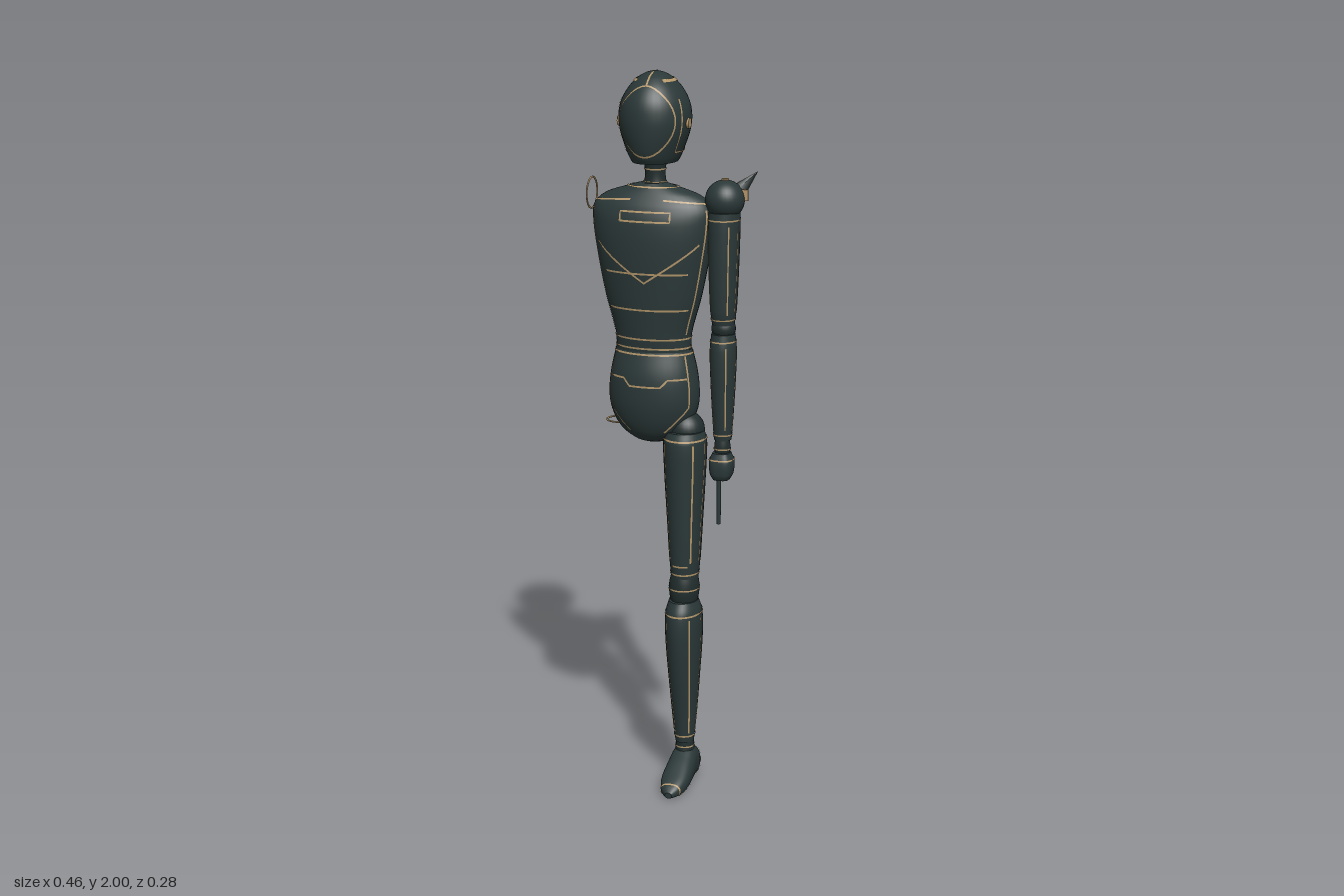
import * as THREE from 'three';
import { mergeGeometries } from 'three/addons/utils/BufferGeometryUtils.js';

const shell = new THREE.MeshStandardMaterial({ color: 0x2b3838 });
shell.name = 'dark shell';
const joint = new THREE.MeshStandardMaterial({ color: 0x222d2d });
joint.name = 'joint';
const trim = new THREE.MeshStandardMaterial({ color: 0xb3966a, side: THREE.DoubleSide });
trim.name = 'tan trim';

// Body surface from sections [y, centreX, centreZ, halfWidth, halfDepth], smooth along y.
// point(angle, y): angle 0 is the front, 90 the model's left.
function makeSurface(rows, power = 1) {
  const slope = (i, k) => {
    const a = rows[Math.max(i - 1, 0)], b = rows[Math.min(i + 1, rows.length - 1)];
    return (b[k] - a[k]) / (b[0] - a[0]);
  };
  const squash = v => Math.sign(v) * Math.pow(Math.abs(v), power);
  const point = (deg, y) => {
    let i = 0;
    while (i < rows.length - 2 && y > rows[i + 1][0]) i++;
    const h = rows[i + 1][0] - rows[i][0], t = (y - rows[i][0]) / h, u = 1 - t;
    const [cx, cz, rx, rz] = [1, 2, 3, 4].map(k =>
      (1 + 2 * t) * u * u * rows[i][k] + t * u * u * h * slope(i, k) +
      t * t * (3 - 2 * t) * rows[i + 1][k] - t * t * u * h * slope(i + 1, k));
    const a = THREE.MathUtils.degToRad(deg);
    return new THREE.Vector3(cx + rx * squash(Math.sin(a)), y, cz + rz * squash(Math.cos(a)));
  };
  return { rows, point };
}

function skin({ rows, point }, sides = 40) {
  const ys = [];
  rows.slice(1).forEach((r, i) => {
    for (let s = 0; s < 5; s++) ys.push(THREE.MathUtils.lerp(rows[i][0], r[0], s / 5));
  });
  ys.push(rows.at(-1)[0]);
  const pos = [], index = [];
  const addRing = y => { for (let j = 0; j < sides; j++) pos.push(...point(j * 360 / sides, y).toArray()); };
  ys.forEach(addRing);
  for (let i = 0; i < ys.length - 1; i++) for (let j = 0; j < sides; j++) {
    const a = i * sides + j, b = i * sides + (j + 1) % sides;
    index.push(a, b, b + sides, a, b + sides, a + sides);
  }
  // End caps with their own vertices keep the rims sharp
  for (const [row, up] of [[rows[0], false], [rows.at(-1), true]]) {
    const base = pos.length / 3;
    addRing(row[0]);
    pos.push(row[1], row[0], row[2]);
    for (let j = 0; j < sides; j++) {
      const a = base + j, b = base + (j + 1) % sides;
      index.push(...(up ? [a, b, base + sides] : [b, a, base + sides]));
    }
  }
  const g = new THREE.BufferGeometry();
  g.setAttribute('position', new THREE.Float32BufferAttribute(pos, 3));
  g.setIndex(index);
  g.computeVertexNormals();
  return g;
}

// Flat ribbon lying on a surface along a path of [angle, y]
function ribbon({ point }, path, width = 0.005) {
  const pts = [], pos = [], index = [];
  path.slice(1).forEach((b, i) => {
    const n = Math.max(3, Math.ceil(Math.abs(b[0] - path[i][0]) / 8), Math.ceil(Math.abs(b[1] - path[i][1]) / 0.015));
    for (let s = i ? 1 : 0; s <= n; s++) pts.push([0, 1].map(k => THREE.MathUtils.lerp(path[i][k], b[k], s / n)));
  });
  const on = pts.map(p => point(...p));
  on.forEach((p, i) => {
    const [a, y] = pts[i];
    const n = point(a + 1, y).sub(point(a - 1, y)).cross(point(a, y - 0.001).sub(point(a, y + 0.001))).normalize().negate();
    const along = on[Math.min(i + 1, on.length - 1)].clone().sub(on[Math.max(i - 1, 0)]).normalize();
    const side = along.cross(n).normalize().multiplyScalar(width / 2);
    const c = p.clone().addScaledVector(n, 0.0018);
    pos.push(...c.clone().sub(side).toArray(), ...c.add(side).toArray());
    if (i) { const k = 2 * i; index.push(k - 2, k - 1, k + 1, k - 2, k + 1, k); }
  });
  const g = new THREE.BufferGeometry();
  g.setAttribute('position', new THREE.Float32BufferAttribute(pos, 3));
  g.setIndex(index);
  g.computeVertexNormals();
  return g;
}

const hoop = y => [[0, y], [360, y]];
const line = (a, y0, y1) => [[a, y0], [a, y1]];
const frame = (a0, a1, y0, y1) => [[a0, y0], [a1, y0], [a1, y1], [a0, y1], [a0, y0]];
const both = path => [path, path.map(([a, y]) => [-a, y])];

export function createModel() {
  const model = new THREE.Group();
  model.name = 'mannequin';
  const add = (name, geometry, material, x = 0, y = 0, z = 0) => {
    const m = new THREE.Mesh(geometry, material);
    m.name = name;
    m.position.set(x, y, z);
    model.add(m);
    return m;
  };
  const part = (name, rows, seams = [], { power = 1, material = shell, width = 0.005 } = {}) => {
    const s = makeSurface(rows, power), g = new THREE.Group();
    g.name = name;
    const body = new THREE.Mesh(skin(s), material);
    body.name = name + 'Shell';
    g.add(body);
    if (seams.length) {
      const t = new THREE.Mesh(mergeGeometries(seams.map(p => ribbon(s, p, width))), trim);
      t.name = name + 'Trim';
      g.add(t);
    }
    model.add(g);
    return { group: g, surface: s };
  };
  // Rows that share one centre
  const centred = (cx, cz, rows) => rows.map(([y, rx, rz]) => [y, cx, cz, rx, rz]);

  // Head with face outline, crown line and horseshoe band
  const faceOval = Array.from({ length: 33 }, (_, i) => {
    const t = i / 32 * Math.PI * 2;
    return [52 * Math.sin(t), 1.873 + 0.092 * Math.cos(t)];
  });
  const head = part('head', centred(-0.05, -0.031, [
    [1.76, 0.06, 0.082], [1.775, 0.068, 0.091], [1.8, 0.078, 0.099], [1.84, 0.092, 0.106], [1.88, 0.097, 0.108],
    [1.92, 0.09, 0.102], [1.955, 0.071, 0.083], [1.98, 0.048, 0.056], [1.994, 0.025, 0.029], [2, 0.003, 0.003]]),
  [faceOval, line(0, 1.965, 1.998), line(180, 1.8, 1.998), [[65, 1.79], [295, 1.79]], ...both(line(65, 1.79, 1.93))]);
  const band = new THREE.Mesh(ribbon(head.surface, [[42, 1.976], [318, 1.976]], 0.011), trim);
  band.name = 'crownBand';
  head.group.add(band);
  for (const s of [1, -1]) {
    add('earDisc', new THREE.CylinderGeometry(0.014, 0.014, 0.008, 20), trim, -0.05 + s * 0.096, 1.865, -0.02).rotation.z = Math.PI / 2;
  }

  // Neck
  part('neck', centred(-0.05, -0.03, [[1.68, 0.038, 0.034], [1.71, 0.029, 0.028], [1.74, 0.028, 0.028], [1.78, 0.036, 0.034]]),
    [hoop(1.705), hoop(1.74)], { material: joint, width: 0.004 });

  // Torso
  part('torso', centred(-0.05, -0.015, [
    [1.25, 0.104, 0.064], [1.3, 0.107, 0.07], [1.4, 0.134, 0.08], [1.52, 0.158, 0.088], [1.6, 0.169, 0.086],
    [1.645, 0.165, 0.073], [1.675, 0.13, 0.055], [1.695, 0.07, 0.04], [1.705, 0.035, 0.03]]),
  [
    frame(-24, 24, 1.61, 1.635), [[-50, 1.47], [50, 1.47]], [[-60, 1.37], [60, 1.37]], [[-60, 1.55], [0, 1.445], [60, 1.55]],
    hoop(1.288), hoop(1.262), ...both(line(68, 1.3, 1.64)), ...both(line(112, 1.3, 1.64)), ...both(line(166, 1.3, 1.67)),
    ...both([[130, 1.42], [145, 1.6], [125, 1.645]]), hoop(1.695), ...both([[18, 1.665], [75, 1.655]]),
    ...both([[172, 1.34], [172, 1.66]])]);

  // Pelvis
  part('pelvis', centred(-0.05, -0.02, [
    [0.99, 0.02, 0.018], [1.0, 0.052, 0.045], [1.03, 0.094, 0.069], [1.08, 0.12, 0.085], [1.13, 0.127, 0.09],
    [1.19, 0.121, 0.086], [1.255, 0.106, 0.068]]),
  [
    [[-60, 1.18], [-30, 1.18], [-20, 1.16], [20, 1.16], [30, 1.18], [60, 1.18]], hoop(1.245),
    ...both([[62, 1.24], [62, 1.1], [30, 1.03]]), ...both(line(115, 1.06, 1.24)), ...both(line(168, 1.06, 1.24)),
    [[115, 1.06], [245, 1.06]]]);

  // Wire loops on the empty right shoulder and hip
  add('shoulderLoop', new THREE.TorusGeometry(0.042, 0.0025, 8, 40), trim, -0.226, 1.668, -0.018).rotation.y = Math.PI / 2;
  add('hipLoop', new THREE.TorusGeometry(0.035, 0.0025, 8, 40), trim, -0.151, 1.042, -0.02).rotation.x = Math.PI / 2;

  // Left shoulder with cap and spike
  add('shoulderBall', new THREE.SphereGeometry(0.053, 32, 20), shell, 0.148, 1.667, -0.018);
  add('shoulderCap', new THREE.CylinderGeometry(0.01, 0.01, 0.006, 20), trim, 0.148, 1.72, -0.018);
  const aim = new THREE.Vector3(0.05, 0.055, -0.025).normalize();
  const spike = add('shoulderSpike', new THREE.ConeGeometry(0.022, 0.075, 4), shell, 0.202, 1.713, -0.047);
  spike.quaternion.setFromUnitVectors(new THREE.Vector3(0, 1, 0), aim);
  const spikeEdge = add('spikeEdge', new THREE.ConeGeometry(0.024, 0.078, 4), trim, 0.202, 1.713, -0.047);
  spikeEdge.quaternion.copy(spike.quaternion);
  spikeEdge.scale.z = 0.15;
  for (const [x, z, turn] of [[0.168, -0.06, 1.1], [0.2, -0.026, 0.1]]) {
    add('shoulderTab', new THREE.BoxGeometry(0.02, 0.03, 0.007), trim, x, 1.68, z).rotation.y = turn;
  }

  // Left arm
  part('upperArm', centred(0.145, -0.02, [
    [1.33, 0.03, 0.034], [1.37, 0.035, 0.041], [1.48, 0.04, 0.048], [1.58, 0.043, 0.05], [1.635, 0.044, 0.048]]),
  [hoop(1.345), hoop(1.615), ...[35, 75, 125, -125, -50].map(a => line(a, 1.36, 1.6))], { width: 0.004 });
  add('elbow', new THREE.SphereGeometry(0.033, 24, 16), joint, 0.146, 1.318, -0.02);
  part('forearm', centred(0.146, -0.018, [
    [1.01, 0.024, 0.025], [1.08, 0.029, 0.033], [1.18, 0.034, 0.041], [1.26, 0.036, 0.043], [1.305, 0.032, 0.036]]),
  [hoop(1.025), hoop(1.285), ...[30, 80, 140, -120, -45].map(a => line(a, 1.04, 1.27))], { width: 0.004 });
  part('wrist', centred(0.146, -0.015, [[0.97, 0.02, 0.02], [0.99, 0.022, 0.022], [1.015, 0.019, 0.019]]),
    [hoop(0.985)], { material: joint, width: 0.004 });
  part('hand', centred(0.146, -0.01, [[0.9, 0.022, 0.026], [0.915, 0.03, 0.033], [0.95, 0.033, 0.034], [0.975, 0.024, 0.026]]),
    [hoop(0.957)], { power: 0.7, width: 0.004 });
  add('rod', new THREE.CylinderGeometry(0.006, 0.006, 0.15, 12), shell, 0.138, 0.845, -0.01);

  // Left leg
  add('hipBall', new THREE.SphereGeometry(0.052, 28, 18), joint, 0.042, 1.03, -0.015);
  part('thigh', centred(0.042, -0.008, [
    [0.6, 0.036, 0.044], [0.66, 0.042, 0.05], [0.78, 0.049, 0.058], [0.92, 0.057, 0.066], [1.0, 0.059, 0.068], [1.03, 0.052, 0.058]]),
  [hoop(1.01), [[-30, 0.65], [30, 0.65]], hoop(0.625), ...[40, 80, 125, 170, -45, -85, -130].map(a => line(a, 0.66, 1.0))]);
  part('knee', centred(0.041, -0.005, [[0.53, 0.034, 0.04], [0.565, 0.041, 0.047], [0.595, 0.041, 0.046], [0.625, 0.034, 0.04]]),
    [hoop(0.58)], { material: joint, width: 0.004 });
  part('calf', [
    [0.12, 0.04, -0.015, 0.026, 0.03], [0.2, 0.04, -0.014, 0.034, 0.04], [0.32, 0.04, -0.01, 0.043, 0.058],
    [0.44, 0.04, -0.008, 0.05, 0.074], [0.51, 0.04, -0.005, 0.049, 0.07], [0.545, 0.04, -0.003, 0.04, 0.052]],
  [hoop(0.51), hoop(0.14), ...[40, 85, 135, -40, -85, -135].map(a => line(a, 0.15, 0.5))]);
  part('ankle', centred(0.04, -0.017, [[0.07, 0.03, 0.034], [0.1, 0.026, 0.028], [0.13, 0.024, 0.027]]),
    [hoop(0.105)], { material: joint, width: 0.004 });

  // Foot: sections run from heel to toe
  const foot = part('foot', [
    [-0.072, 0.04, -0.036, 0.02, 0.026], [-0.062, 0.04, -0.044, 0.032, 0.042], [-0.02, 0.04, -0.052, 0.036, 0.052],
    [0.03, 0.041, -0.042, 0.039, 0.042], [0.08, 0.041, -0.029, 0.039, 0.029], [0.12, 0.041, -0.018, 0.027, 0.018],
    [0.14, 0.041, -0.011, 0.01, 0.008]],
  [...both(line(60, -0.06, 0.12)), [[60, 0.12], [300, 0.12]], [[70, -0.055], [290, -0.055]]], { power: 0.8 });
  foot.group.rotation.x = Math.PI / 2;

  return model;
}
